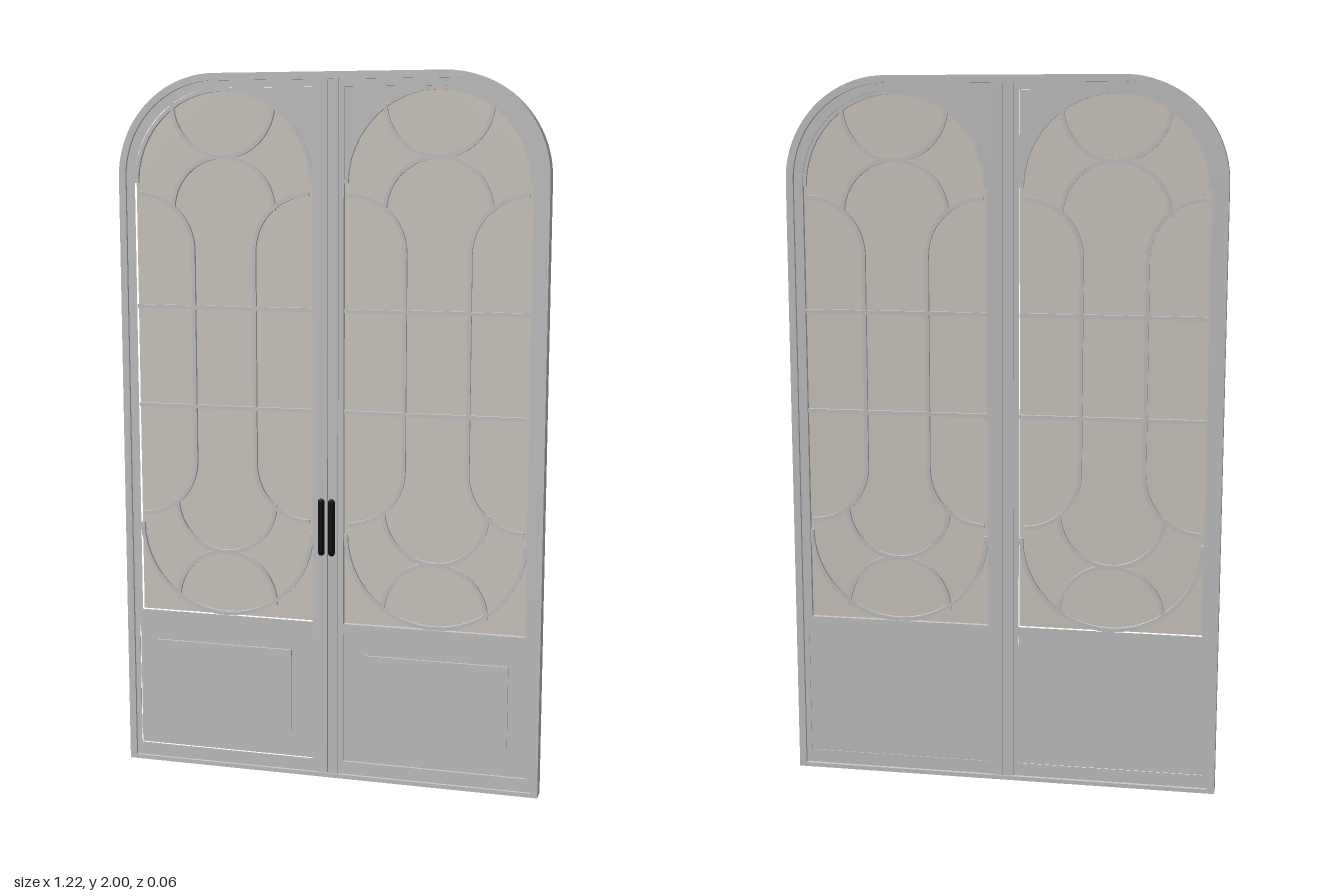
import * as THREE from 'three';

const paint = new THREE.MeshStandardMaterial({ color: 0xd6dad6 });
const glassMat = new THREE.MeshStandardMaterial({ color: 0xd8d1c9 });
const black = new THREE.MeshStandardMaterial({ color: 0x0c0f10 });

// Extrude a shape between two depths; side = -1 mirrors it across x = 0
function slab(name, shape, z0, z1, side = 1, material = paint) {
  const flip = (pts) => pts.map((p) => new THREE.Vector2(p.x * side, p.y));
  const { shape: outer, holes } = shape.extractPoints(12);
  const s = new THREE.Shape(flip(outer));
  s.holes = holes.map((h) => new THREE.Path(flip(h)));
  const geo = new THREE.ExtrudeGeometry(s, { depth: z1 - z0, bevelEnabled: false });
  geo.translate(0, 0, z0);
  const mesh = new THREE.Mesh(geo, material);
  mesh.name = name;
  return mesh;
}

// Rectangle outline whose top right and (optionally) top left corners are rounded
function outline(x0, y0, x1, y1, rRight = 0, rLeft = 0) {
  const s = new THREE.Shape();
  s.moveTo(x0, y0);
  s.lineTo(x1, y0);
  if (rRight) s.absarc(x1 - rRight, y1 - rRight, rRight, 0, Math.PI / 2, false);
  else s.lineTo(x1, y1);
  if (rLeft) s.absarc(x0 + rLeft, y1 - rLeft, rLeft, Math.PI / 2, Math.PI, false);
  else s.lineTo(x0, y1);
  s.closePath();
  return s;
}

function withHoles(shape, ...holes) {
  shape.holes.push(...holes);
  return shape;
}

// Curved glazing bar
function arcBand(cx, cy, r, a0, a1, w = 0.011) {
  const s = new THREE.Shape();
  s.absarc(cx, cy, r + w / 2, a0, a1, false);
  s.absarc(cx, cy, r - w / 2, a1, a0, true);
  s.closePath();
  return s;
}

function createTracery(side) {
  const g = new THREE.Group();
  g.name = 'glazingBars';
  const add = (name, shape) => g.add(slab(name, shape, -0.017, 0.005, side));
  const cx = 0.306, PI = Math.PI, w = 0.0055;
  const midY = 1.21;
  // The pattern is symmetrical about the middle height of the glass
  for (const v of [1, -1]) {
    const arc = (name, x, dy, r, a0, a1) =>
      add(name, v > 0 ? arcBand(x, midY + dy, r, a0, a1) : arcBand(x, midY - dy, r, -a1, -a0));
    arc('outerArc', cx, 0.49, 0.256, 0, PI);
    arc('ovalArc', cx, 0.71, 0.148, PI, 2 * PI);
    arc('domeArc', cx, 0.415, 0.148, 0, PI);
    arc('innerShoulder', cx - 0.25, 0.3, 0.16, 0, PI / 2);
    arc('outerShoulder', cx + 0.25, 0.3, 0.16, PI / 2, PI);
    const y = midY + v * 0.142;
    add('crossBar', outline(0.045, y - w, 0.565, y + w));
  }
  for (const x of [cx - 0.09, cx + 0.09])
    add('uprightBar', outline(x - w, midY - 0.3, x + w, midY + 0.3));
  return g;
}

function createLeaf(side) {
  const g = new THREE.Group();
  g.name = side > 0 ? 'leftLeaf' : 'rightLeaf';
  const opening = () => outline(0.045, 0.46, 0.565, 1.96, 0.255);
  const panel = () => outline(0.045, 0.05, 0.575, 0.43);

  // Stiles and rails, with a slim raised lip around the edge
  g.add(slab('leafFrame', withHoles(outline(0.001, 0.005, 0.592, 1.982, 0.27), opening(), panel()), -0.02, 0.009, side));
  g.add(slab('glass', opening(), -0.008, -0.004, side, glassMat));

  // Solid corner between the arched glass and the meeting stile
  const corner = new THREE.Shape();
  corner.moveTo(0.045, 1.96);
  corner.lineTo(0.045, 1.7);
  corner.absarc(0.306, 1.7, 0.26, Math.PI, Math.PI / 2, true);
  corner.closePath();
  g.add(slab('cornerFill', corner, -0.016, 0.003, side));

  // Sunk lower panel with a raised field
  g.add(slab('lowerPanel', panel(), -0.018, 0.002, side));
  g.add(slab('raisedField', outline(0.11, 0.13, 0.52, 0.37), 0, 0.008, side));
  g.add(createTracery(side));

  // Pull handle on two short posts
  const handle = new THREE.Group();
  handle.name = 'handle';
  const grip = new THREE.Mesh(new THREE.CapsuleGeometry(0.01, 0.145, 4, 12), black);
  grip.name = 'grip';
  grip.scale.z = 0.45;
  grip.position.set(side * 0.015, 0.742, 0.0255);
  handle.add(grip);
  for (const y of [0.675, 0.81]) {
    const post = new THREE.Mesh(new THREE.CylinderGeometry(0.006, 0.006, 0.014, 12), black);
    post.name = 'handlePost';
    post.rotation.x = Math.PI / 2;
    post.position.set(side * 0.015, y, 0.018);
    handle.add(post);
  }
  g.add(handle);
  return g;
}

export function createModel() {
  const model = new THREE.Group();
  model.name = 'archedDoubleDoor';

  // Surrounding jambs and arched head
  const surround = withHoles(outline(-0.61, 0, 0.61, 2, 0.285, 0.285), outline(-0.59, 0.012, 0.59, 1.98, 0.265, 0.265));
  model.add(slab('doorFrame', surround, -0.03, 0.017));

  // Raised meeting strips along the centre
  for (const side of [1, -1]) {
    model.add(slab('meetingStrip', outline(0.001, 0.012, 0.03, 1.98), -0.026, 0.014, side));
    model.add(createLeaf(side));
  }
  return model;
}
